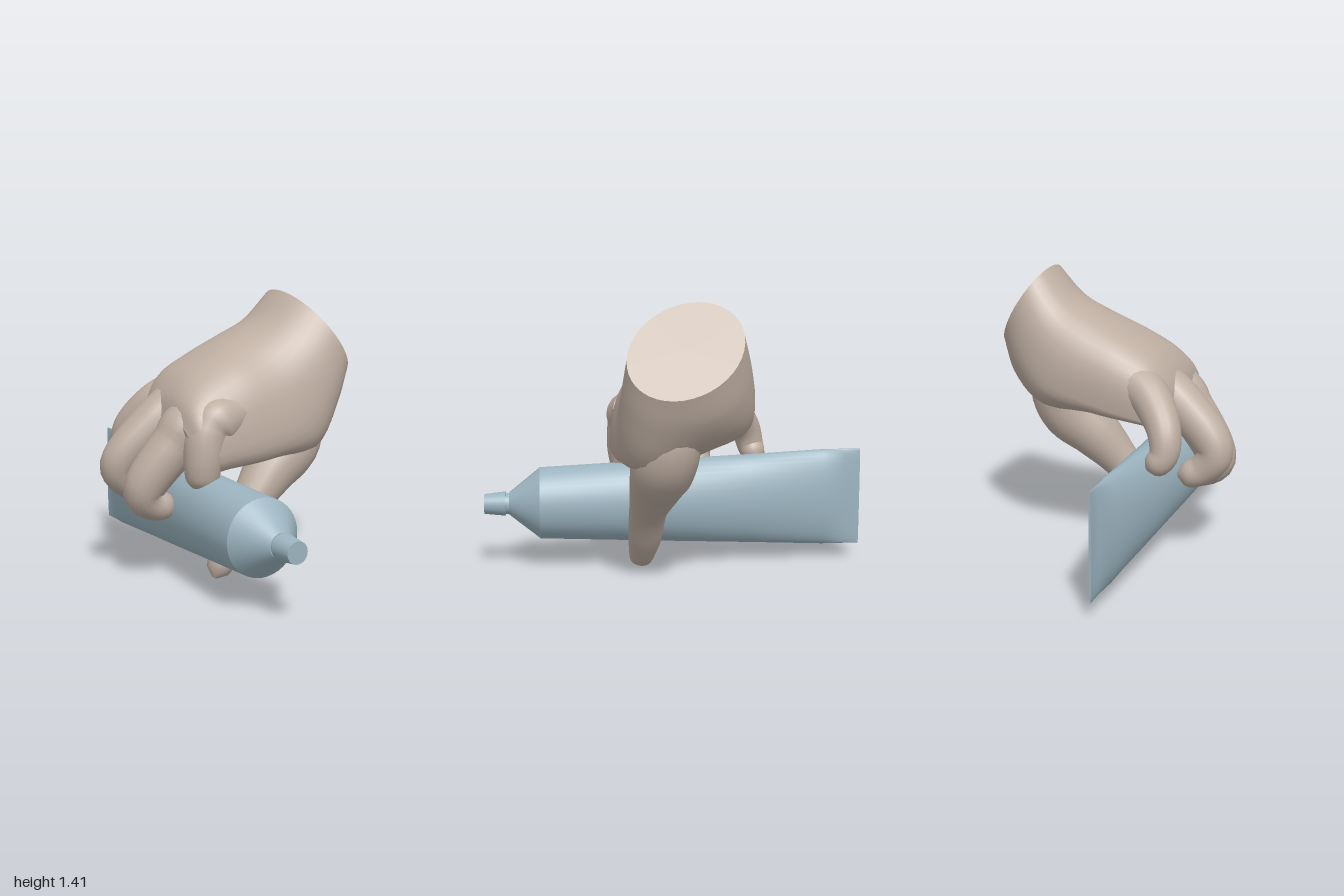
import * as THREE from 'three';

const skin = new THREE.MeshStandardMaterial({ color: 0xbdada1 });
const foil = new THREE.MeshStandardMaterial({ color: 0x9cb4c0 });

// Skin a list of rings (counter-clockwise about the direction of travel) and close both ends
function loft(name, rings, material) {
  const n = rings[0].length, pos = [], idx = [];
  for (const r of rings) for (const p of r) pos.push(p.x, p.y, p.z);
  for (let i = 0; i < rings.length - 1; i++) {
    for (let j = 0; j < n; j++) {
      const k = (j + 1) % n;
      const a = i * n + j, b = i * n + k, c = b + n, d = a + n;
      idx.push(a, b, c, a, c, d);
    }
  }
  [[rings[0], true], [rings[rings.length - 1], false]].forEach(([ring, first]) => {
    const base = pos.length / 3;
    const mid = ring.reduce((s, p) => s.add(p), new THREE.Vector3()).divideScalar(n);
    for (const p of [...ring, mid]) pos.push(p.x, p.y, p.z);
    for (let j = 0; j < n; j++) {
      const a = base + j, b = base + (j + 1) % n;
      idx.push(base + n, first ? b : a, first ? a : b);
    }
  });
  const g = new THREE.BufferGeometry();
  g.setAttribute('position', new THREE.Float32BufferAttribute(pos, 3));
  g.setIndex(idx);
  g.computeVertexNormals();
  const mesh = new THREE.Mesh(g, material);
  mesh.name = name;
  return mesh;
}

// Digit: joints are [x, y, z, radius]; round section along a smooth path with a rounded tip
function digit(name, joints) {
  const path = new THREE.CatmullRomCurve3(joints.map(([x, y, z]) => new THREE.Vector3(x, y, z)));
  const radii = new THREE.CatmullRomCurve3(joints.map((j) => new THREE.Vector3(j[3], 0, 0)));
  const steps = 30, sides = 18, rings = [];
  const tipLength = joints[joints.length - 1][3] / path.getLength();
  const frames = path.computeFrenetFrames(steps, false);
  for (let i = 0; i <= steps; i++) {
    const u = i / steps;
    const t = path.getUtoTmapping(u);
    const over = Math.max(0, (u - 1 + tipLength) / tipLength);
    const r = radii.getPoint(t).x * Math.sqrt(Math.max(0.04, 1 - over * over));
    const c = path.getPoint(t);
    rings.push(Array.from({ length: sides }, (_, j) => {
      const a = (j / sides) * Math.PI * 2;
      return c.clone()
        .addScaledVector(frames.normals[i], Math.cos(a) * r)
        .addScaledVector(frames.binormals[i], Math.sin(a) * r);
    }));
  }
  return loft(name, rings, skin);
}

// Palm: each section runs from a point on the back of the hand to one on the palm side
function palm() {
  // [backX, backY, palmX, palmY, zMin, zMax, lift on the little-finger side, hollow]
  const sections = [
    [0.33, 1.41, 0.62, 0.98, -0.26, 0.28, 0, 0],
    [0.20, 1.27, 0.57, 0.82, -0.31, 0.30, 0.1, 0],
    [0.05, 1.19, 0.44, 0.56, -0.35, 0.32, 0.45, 0.1],
    [-0.11, 1.11, 0.17, 0.48, -0.36, 0.34, 0.72, 0.45],
    [-0.26, 1.02, -0.09, 0.46, -0.35, 0.34, 0.8, 0.5],
    [-0.34, 0.92, -0.25, 0.48, -0.28, 0.34, 0.8, 0.4],
    [-0.37, 0.81, -0.32, 0.58, -0.16, 0.29, 0.6, 0.1],
  ];
  const curve = (a, b, c) => new THREE.CatmullRomCurve3(
    sections.map((s) => new THREE.Vector3(s[a], s[b], s[c])));
  const backs = curve(0, 1, 4), fronts = curve(2, 3, 5), lifts = curve(6, 7, 7);
  const steps = 30, sides = 40, rings = [];
  for (let i = 0; i <= steps; i++) {
    const t = i / steps;
    const B = backs.getPoint(t), F = fronts.getPoint(t), L = lifts.getPoint(t);
    // Round at the wrist, squarer towards the knuckles
    const power = 1 - 0.22 * Math.min(1, t * 2);
    const soft = (v) => Math.sign(v) * Math.pow(Math.abs(v), power);
    const lean = 0.07 - 0.05 * t;
    rings.push(Array.from({ length: sides }, (_, j) => {
      const a = (j / sides) * Math.PI * 2;
      const s = soft(Math.cos(a));
      let u = soft(Math.sin(a));
      if (u < 0) {
        const side = THREE.MathUtils.smoothstep(-s, -0.6, 0.6);
        u *= 1 - L.x * side - L.y * Math.max(0, 1 - s * s) * (1 - side);
      }
      const k = (1 + u) / 2;
      return new THREE.Vector3(
        F.x + (B.x - F.x) * k,
        F.y + (B.y - F.y) * k,
        (B.z + F.z) / 2 + s * (F.z - B.z) / 2 - lean * u);
    }));
  }
  return loft('palm', rings, skin);
}

// Squeeze tube: elliptical rings [z, halfWidth, halfHeight] along z
function tubePart(name, profile) {
  const sides = 40;
  return loft(name, profile.map(([z, w, h]) => Array.from({ length: sides }, (_, j) => {
    const a = (j / sides) * Math.PI * 2;
    return new THREE.Vector3(-0.21 + Math.cos(a) * w, 0.335 + Math.sin(a) * h, z);
  })), foil);
}

export function createModel() {
  const model = new THREE.Group();

  const hand = new THREE.Group();
  hand.name = 'hand';
  hand.add(
    palm(),
    digit('thumb', [
      [0.27, 0.97, 0.04, 0.10], [0.36, 0.78, 0.07, 0.15], [0.32, 0.635, 0.10, 0.16],
      [0.18, 0.50, 0.13, 0.135], [0.04, 0.34, 0.16, 0.097],
      [-0.07, 0.17, 0.17, 0.087], [-0.17, 0.005, 0.19, 0.055],
    ]),
    digit('indexFinger', [
      [-0.08, 0.84, 0.22, 0.11], [-0.23, 0.77, 0.24, 0.11],
      [-0.27, 0.62, 0.26, 0.095], [-0.27, 0.47, 0.25, 0.075],
    ]),
    digit('middleFinger', [
      [-0.16, 0.87, 0.13, 0.12], [-0.34, 0.69, 0.11, 0.12], [-0.495, 0.45, 0.06, 0.10],
      [-0.44, 0.385, 0.06, 0.08], [-0.33, 0.375, 0.08, 0.065],
    ]),
    digit('ringFinger', [
      [-0.17, 0.89, -0.08, 0.13], [-0.36, 0.76, -0.10, 0.115], [-0.54, 0.55, -0.14, 0.09],
      [-0.47, 0.45, -0.15, 0.075], [-0.36, 0.42, -0.17, 0.065],
    ]),
    digit('littleFinger', [
      [-0.10, 0.92, -0.22, 0.11], [-0.25, 0.84, -0.29, 0.10], [-0.36, 0.69, -0.40, 0.08],
      [-0.36, 0.59, -0.43, 0.07], [-0.29, 0.53, -0.45, 0.06],
    ]),
  );

  const tube = new THREE.Group();
  tube.name = 'squeezeTube';
  tube.add(
    tubePart('tubeBody', [
      [-1, 0.006, 0.26], [-0.92, 0.012, 0.26], [-0.8, 0.065, 0.26],
      [-0.4, 0.115, 0.24], [0.1, 0.155, 0.217], [0.71, 0.187, 0.187],
    ]),
    tubePart('tubeShoulder', [[0.71, 0.187, 0.187], [0.87, 0.06, 0.06]]),
    tubePart('tubeNeck', [[0.87, 0.055, 0.055], [0.9, 0.055, 0.055]]),
    tubePart('tubeCap', [[0.89, 0.064, 0.064], [1, 0.052, 0.052]]),
  );

  model.add(hand, tube);
  return model;
}
